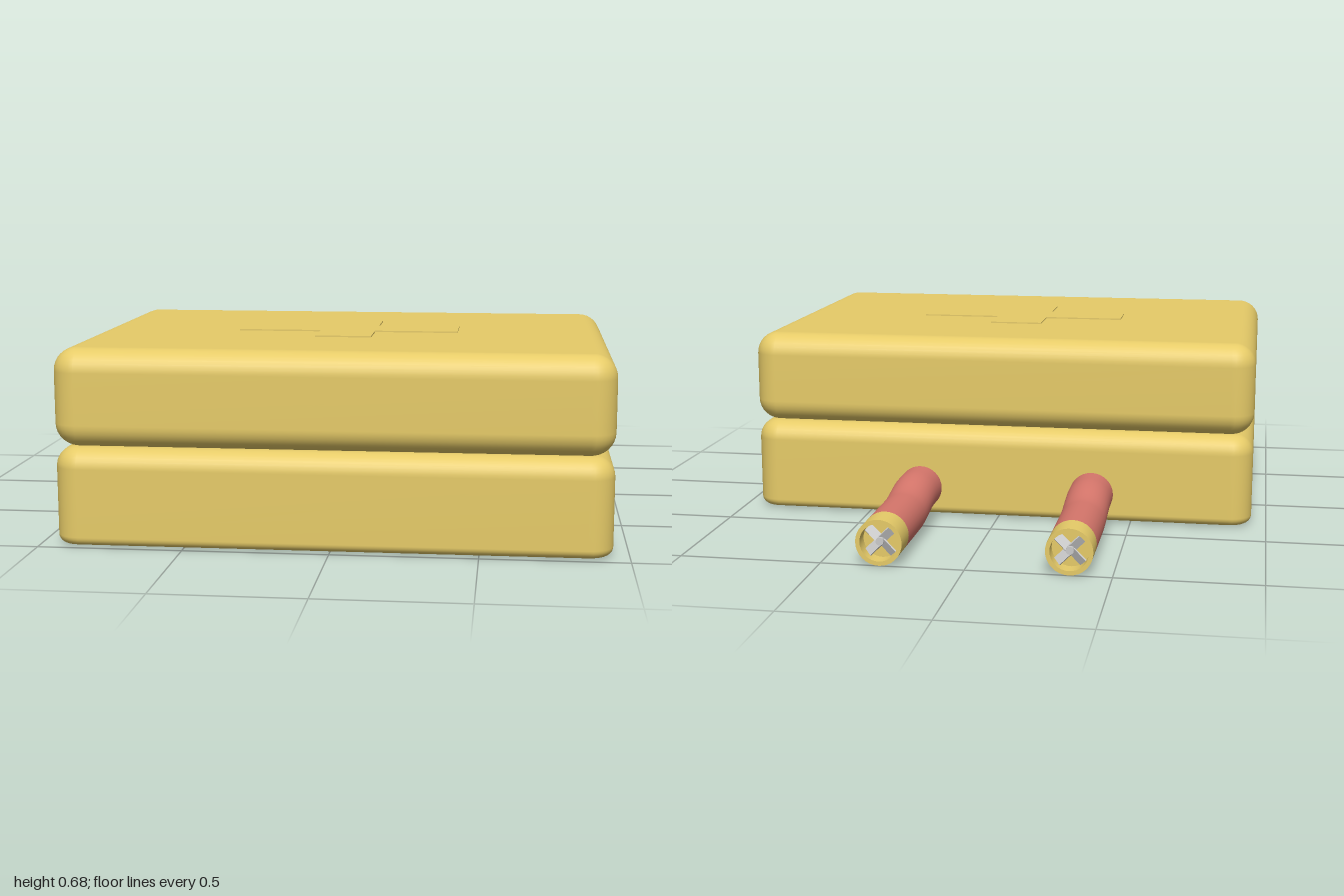
import * as THREE from 'three';
import { toCreasedNormals } from 'three/addons/utils/BufferGeometryUtils.js';

const gold = new THREE.MeshStandardMaterial({ color: 0xe6cb68 });
const red = new THREE.MeshStandardMaterial({ color: 0xd6766b });
const grey = new THREE.MeshStandardMaterial({ color: 0xcccccc, side: THREE.DoubleSide });

const HALF_X = 0.945, HALF_Z = 0.675, MID_Z = 0.325, CORNER = 0.085;

function addMesh(parent, name, geometry, material) {
  const mesh = new THREE.Mesh(geometry, material);
  mesh.name = name;
  parent.add(mesh);
  return mesh;
}

// Rounded slab: rounded-rectangle rings stacked along a bevel profile, then capped.
function slabGeometry(y0, y1, bottomR, topR) {
  const steps = 8, profile = [];
  for (let i = 0; i <= steps; i++) {
    const a = (i / steps) * Math.PI / 2;
    profile.push([bottomR * (1 - Math.sin(a)), y0 + bottomR * (1 - Math.cos(a))]);
  }
  for (let i = 0; i <= steps; i++) {
    const a = (i / steps) * Math.PI / 2;
    profile.push([topR * (1 - Math.cos(a)), y1 - topR * (1 - Math.sin(a))]);
  }
  const positions = [], index = [], n = 4 * (steps + 1);
  for (const [inset, y] of profile) {
    const r = CORNER - inset;
    for (let q = 0; q < 4; q++) {
      const sx = q === 0 || q === 3 ? 1 : -1, sz = q < 2 ? 1 : -1;
      for (let i = 0; i <= steps; i++) {
        const a = (q + i / steps) * Math.PI / 2;
        positions.push(sx * (HALF_X - CORNER) + r * Math.cos(a), y,
          MID_Z + sz * (HALF_Z - CORNER) + r * Math.sin(a));
      }
    }
  }
  for (let k = 0; k < profile.length - 1; k++) {
    for (let i = 0; i < n; i++) {
      const a = k * n + i, b = k * n + (i + 1) % n;
      index.push(a, a + n, b, b, a + n, b + n);
    }
  }
  const bottom = positions.length / 3, top = bottom + 1, last = (profile.length - 1) * n;
  positions.push(0, y0, MID_Z, 0, y1, MID_Z);
  for (let i = 0; i < n; i++) {
    const j = (i + 1) % n;
    index.push(bottom, i, j, top, last + j, last + i);
  }
  const g = new THREE.BufferGeometry();
  g.setAttribute('position', new THREE.Float32BufferAttribute(positions, 3));
  g.setIndex(index);
  g.computeVertexNormals();
  return g;
}

// Thin raised plus sign for the lid.
function crossGeometry() {
  const hx = 0.4, hz = 0.245, bx = 0.1, bz = 0.082;
  const s = new THREE.Shape([
    [hx, -bz], [hx, bz], [bx, bz], [bx, hz], [-bx, hz], [-bx, bz],
    [-hx, bz], [-hx, -bz], [-bx, -bz], [-bx, -hz], [bx, -hz], [bx, -bz],
  ].map(([x, y]) => new THREE.Vector2(x, y)));
  return new THREE.ExtrudeGeometry(s, { depth: 0.015, bevelEnabled: false }).rotateX(-Math.PI / 2);
}

// Cable with a hollow end sleeve and a small bladed core.
function makeCable(x) {
  const cable = new THREE.Group();
  cable.name = 'cable';
  cable.position.x = x;

  const path = new THREE.CurvePath();
  const p = (y, z) => new THREE.Vector3(0, y, z);
  path.add(new THREE.LineCurve3(p(0.11, -0.3), p(0.11, -0.43)));
  path.add(new THREE.CubicBezierCurve3(p(0.11, -0.43), p(0.11, -0.51), p(0.082, -0.57), p(0.082, -0.65)));
  path.add(new THREE.LineCurve3(p(0.082, -0.65), p(0.082, -0.895)));
  addMesh(cable, 'cableSheath', new THREE.TubeGeometry(path, 40, 0.081, 32), red);

  const sleeve = new THREE.LatheGeometry([
    [0.081, 0], [0.081, 0.105], [0.066, 0.105], [0.066, 0.05], [0, 0.05],
  ].map(([r, y]) => new THREE.Vector2(r, y)), 32);
  sleeve.rotateX(-Math.PI / 2);
  addMesh(cable, 'endSleeve', toCreasedNormals(sleeve, 0.6), gold).position.set(0, 0.082, -0.895);

  const core = new THREE.Group();
  core.name = 'core';
  core.position.set(0, 0.082, -0.965);
  cable.add(core);
  addMesh(core, 'coreHub', new THREE.CylinderGeometry(0.014, 0.014, 0.04, 16).rotateX(Math.PI / 2), grey);
  for (let i = 0; i < 4; i++) {
    const blade = new THREE.BoxGeometry(0.058, 0.032, 0.006).rotateX(0.5).translate(0.034, 0, 0);
    addMesh(core, 'coreBlade', blade, grey).rotation.z = Math.PI / 4 + i * Math.PI / 2;
  }
  return cable;
}

export function createModel() {
  const model = new THREE.Group();
  model.name = 'cableBox';
  addMesh(model, 'lowerCase', slabGeometry(0.006, 0.342, 0.03, 0.07), gold);
  addMesh(model, 'upperCase', slabGeometry(0.342, 0.68, 0.08, 0.08), gold);
  addMesh(model, 'lidCross', crossGeometry(), gold).position.set(0, 0.67, MID_Z);
  for (const x of [-0.355, 0.295]) model.add(makeCable(x));
  return model;
}
